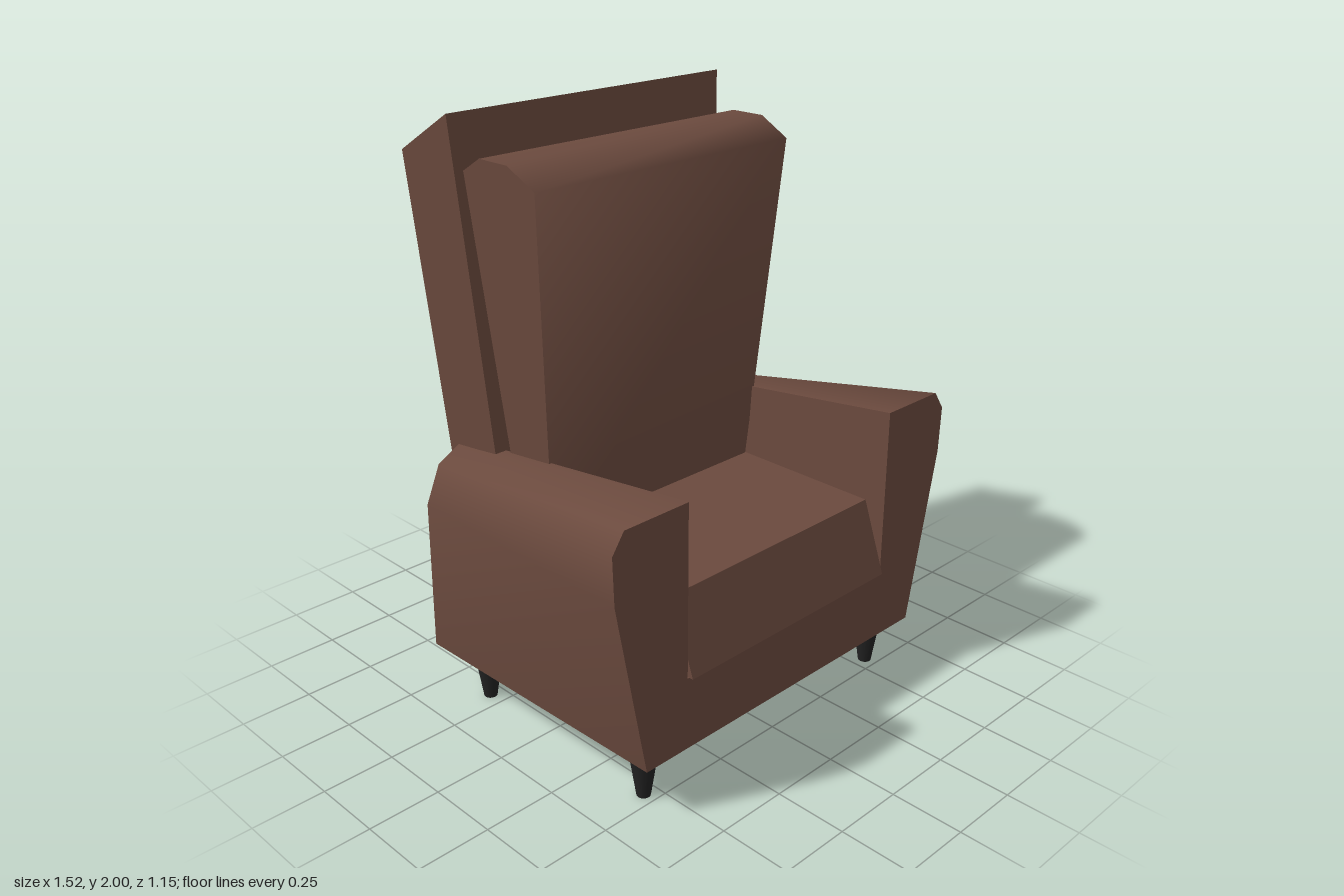
import * as THREE from 'three';
import { toCreasedNormals } from 'three/addons/utils/BufferGeometryUtils.js';

const leather = new THREE.MeshStandardMaterial({ color: 0x6b4a3e });
const darkWood = new THREE.MeshStandardMaterial({ color: 0x222222 });

// Solid between two matching cross-sections, closed by end caps.
function loft(a, b, crease) {
  const n = a.length;
  const tris = [];
  for (let i = 0; i < n; i++) {
    const j = (i + 1) % n;
    tris.push([a[i], a[j], b[j]], [a[i], b[j], b[i]]);
  }
  for (let i = 1; i < n - 1; i++) {
    tris.push([a[0], a[i + 1], a[i]], [b[0], b[i], b[i + 1]]);
  }
  // The signed volume tells whether the faces point outward.
  const v = (p) => new THREE.Vector3(...p);
  let volume = 0;
  for (const [p, q, r] of tris) volume += v(p).dot(v(q).cross(v(r)));
  if (volume < 0) tris.forEach((t) => t.reverse());

  const geometry = new THREE.BufferGeometry();
  geometry.setAttribute('position', new THREE.Float32BufferAttribute(tris.flat(2), 3));
  return toCreasedNormals(geometry, crease);
}

// Side profile of [z, y] points, whose half width varies linearly with height.
function panel(profile, halfWidth, crease) {
  const side = (s) => profile.map(([z, y]) => [s * halfWidth(y), y, z]);
  return loft(side(-1), side(1), crease);
}

const lerpHeight = (y0, w0, y1, w1) => (y) => w0 + ((w1 - w0) * (y - y0)) / (y1 - y0);

export function createModel() {
  const model = new THREE.Group();
  const add = (name, geometry, material = leather) => {
    const mesh = new THREE.Mesh(geometry, material);
    mesh.name = name;
    model.add(mesh);
    return mesh;
  };

  // Base between the arms
  add('seatBase', new THREE.BoxGeometry(0.94, 0.25, 1.025)).position.set(0, 0.305, 0.0475);

  // Seat cushion with a sloping front
  add('seatCushion', panel(
    [[0.575, 0.43], [0.487, 0.68], [-0.2, 0.68], [-0.2, 0.43]],
    () => 0.458, 0.5));

  // Back cushion with a rounded top, widening upwards
  add('backCushion', panel(
    [[-0.065, 0.6], [0.015, 1.82], [-0.1, 1.88], [-0.23, 1.88], [-0.315, 1.83], [-0.21, 0.6]],
    lerpHeight(0.68, 0.455, 1.88, 0.545), 1.25));

  // Backrest: both top edges share one width, so each edge tapers on its own
  const backrest = (s) => [
    [s * 0.465, 0.2, -0.224], [s * 0.575, 2, -0.34],
    [s * 0.575, 1.86, -0.577], [s * 0.465, 0.2, -0.467],
  ];
  add('backrest', loft(backrest(-1), backrest(1), 1.1));

  // Arms: wide and flared in front, lower and upright at the back
  const front = [[0.465, 0.18], [0.465, 1.015], [0.715, 1.015], [0.76, 0.95], [0.754, 0.79], [0.635, 0.18]];
  const back = [[0.465, 0.18], [0.465, 0.885], [0.51, 0.885], [0.595, 0.84], [0.65, 0.71], [0.655, 0.18]];
  for (const [name, s] of [['leftArm', 1], ['rightArm', -1]]) {
    add(name, loft(
      front.map(([x, y]) => [s * x, y, 0.56]),
      back.map(([x, y]) => [s * x, y, -0.465]), 1.1));
  }

  // Tapered legs
  const leg = new THREE.CylinderGeometry(0.05, 0.023, 0.18, 16);
  for (const [end, z] of [['front', 0.455], ['back', -0.31]]) {
    for (const [side, x] of [['Left', 0.55], ['Right', -0.55]]) {
      add(`${end}${side}Leg`, leg, darkWood).position.set(x, 0.09, z);
    }
  }

  return model;
}
